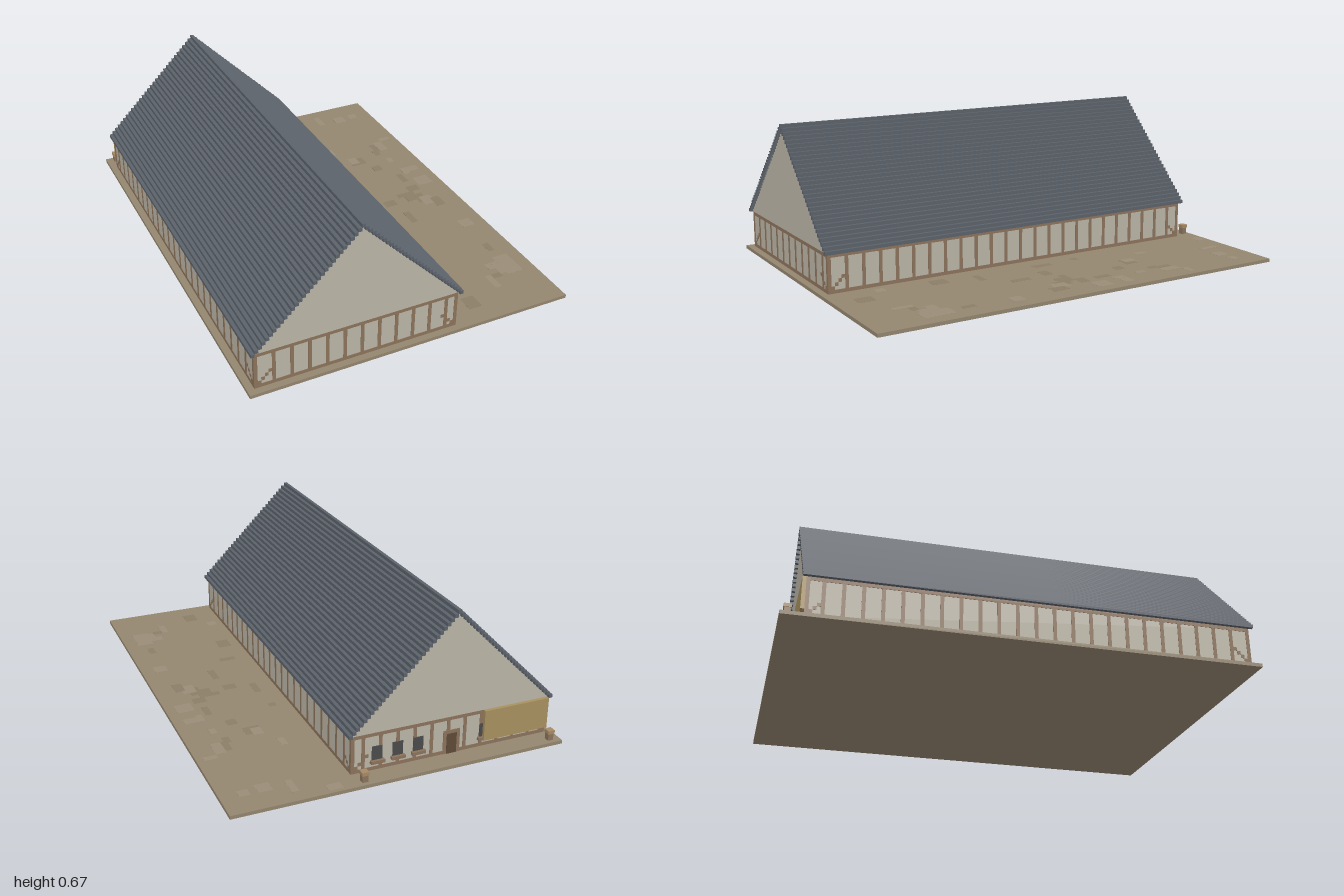
import * as THREE from 'three';

const V = 1 / 64; // edge of one block; the plot is 96 x 128 blocks
const mat = (color) => new THREE.MeshStandardMaterial({ color, flatShading: true });

const M = {
  ground: mat(0x94866f), patchA: mat(0x8c7e68), patchB: mat(0x998c76),
  plaster: mat(0xbab5a6), timber: mat(0x8c735c), roof: mat(0x5c626b),
  dark: mat(0x4a4a4c), door: mat(0x5e4936), board: mat(0xa8905f), cap: mat(0xa58a66),
};

// Box spanning block coordinates, counted from the back right corner of the plot
function block(parent, name, m, x0, x1, y0, y1, z0, z1) {
  const mesh = new THREE.Mesh(
    new THREE.BoxGeometry((x1 - x0) * V, (y1 - y0) * V, (z1 - z0) * V), m);
  mesh.position.set(((x0 + x1) / 2 - 48) * V, ((y0 + y1) / 2) * V, ((z0 + z1) / 2 - 64) * V);
  mesh.name = name;
  parent.add(mesh);
  return mesh;
}

function group(parent, name) {
  const g = new THREE.Group();
  g.name = name;
  parent.add(g);
  return g;
}

export function createModel() {
  const root = new THREE.Group();
  root.name = 'timberFramedHall';

  // House footprint, and the line the roof and facade mirror about
  const X0 = 2, X1 = 61, Z0 = 6, Z1 = 126, EAVE = 12, MID = 31.5;

  // Earth plot with slightly uneven tones in the yard
  const plot = group(root, 'plot');
  block(plot, 'ground', M.ground, 0, 96, 0, 1, 0, 128);
  let seed = 7;
  const rand = () => (seed = (seed * 16807) % 2147483647) / 2147483647;
  for (let i = 0; i < 40; i++) {
    const x = 63 + Math.floor(rand() * 28), z = 1 + Math.floor(rand() * 120);
    const y = 1 + 0.02 + i * 0.0005;
    block(plot, 'groundPatch', i % 2 ? M.patchA : M.patchB,
      x, x + 2 + Math.floor(rand() * 4), 0.9, y, z, z + 2 + Math.floor(rand() * 5));
  }

  // Plaster body, set a hair behind the timber frame
  const e = 0.12;
  block(root, 'plasterWalls', M.plaster, X0 + e, X1 - e, 1, EAVE, Z0 + e, Z1 - e);

  // Stepped gable, extruded along the house
  const left = [], right = [];
  for (let k = 0; k < 30; k++) {
    left.push([X0 + k, EAVE + k], [X0 + k, EAVE + k + 1]);
    right.unshift([X1 - k, EAVE + k + 1], [X1 - k, EAVE + k]);
  }
  const outline = [...left, ...right].map(([x, y]) => new THREE.Vector2((x - 48) * V, y * V));
  const gable = new THREE.Mesh(
    new THREE.ExtrudeGeometry(new THREE.Shape(outline), { depth: (Z1 - Z0) * V, bevelEnabled: false }),
    M.plaster);
  gable.position.z = (Z0 - 64) * V;
  gable.name = 'gables';
  root.add(gable);

  // Roof: one course per step on both slopes, meeting in a single ridge
  const roof = group(root, 'roof');
  for (let k = 0; k < 30; k++) {
    for (const x of [1 + k, 61 - k]) {
      block(roof, 'roofCourse', M.roof, x, x + 1, EAVE + k, EAVE + k + 1, Z0 - 1, Z1 + 1);
    }
  }
  block(roof, 'ridge', M.roof, 31, 32, 42, 43, Z0 - 1, Z1 + 1);

  // Timber frame: rails, posts and corner braces
  const frame = group(root, 'timberFrame');
  for (const y of [1, 11]) {
    for (const z of [Z0, Z1 - 1]) block(frame, 'endRail', M.timber, X0, X1, y, y + 1, z, z + 1);
    for (const x of [X0, X1 - 1]) block(frame, 'sideRail', M.timber, x, x + 1, y, y + 1, Z0 + 1, Z1 - 1);
  }
  for (const z of [Z0, Z1 - 1]) {
    for (const x of [X0, X1 - 1]) block(frame, 'cornerPost', M.timber, x, x + 1, 2, 11, z, z + 1);
    for (let x = 7; x <= 57; x += 5) block(frame, 'endPost', M.timber, x, x + 1, 2, 11, z, z + 1);
    for (let i = 0; i < 4; i++) {
      for (const x of [X0 + 1 + i, X1 - 2 - i]) {
        block(frame, 'endBrace', M.timber, x, x + 1, 2 + i, 3 + i, z + 0.02, z + 0.98);
      }
    }
  }
  for (const x of [X0, X1 - 1]) {
    for (let z = 10; z <= 120; z += 5) block(frame, 'sidePost', M.timber, x, x + 1, 2, 11, z, z + 1);
    for (let i = 0; i < 4; i++) {
      for (const z of [Z0 + 1 + i, Z1 - 2 - i]) {
        block(frame, 'sideBrace', M.timber, x + 0.02, x + 0.98, 2 + i, 3 + i, z, z + 1);
      }
    }
  }

  // Entrance facade at the back: door in the middle, three windows each side
  const facade = group(root, 'entranceFacade');
  block(facade, 'doorFrame', M.timber, MID - 2.5, MID + 2.5, 1, 8, Z0 - 0.1, Z0 + 1);
  block(facade, 'door', M.door, MID - 1.5, MID + 1.5, 1, 7, Z0 - 0.2, Z0 + 0.9);
  for (const side of [-1, 1]) {
    for (const d of [10, 16, 22]) {
      const c = MID + side * d;
      block(facade, 'window', M.dark, c - 1.5, c + 1.5, 4, 8, Z0 - 0.1, Z0 + 1);
      block(facade, 'windowSill', M.timber, c - 2, c + 2, 3.1, 4, Z0 - 0.9, Z0 + 0.5);
    }
  }

  // Plain hanging board beneath the back eave
  block(facade, 'hangingBoard', M.board, 2, 22, 3, 12, Z0 - 1, Z0);

  // Low bollards in front of the entrance
  for (const x of [2, 58]) {
    const bollard = group(root, 'bollard');
    block(bollard, 'bollardPost', M.timber, x + 0.2, x + 1.8, 1, 3, 1.2, 2.8);
    block(bollard, 'bollardCap', M.cap, x, x + 2, 3, 4, 1, 3);
  }

  return root;
}
